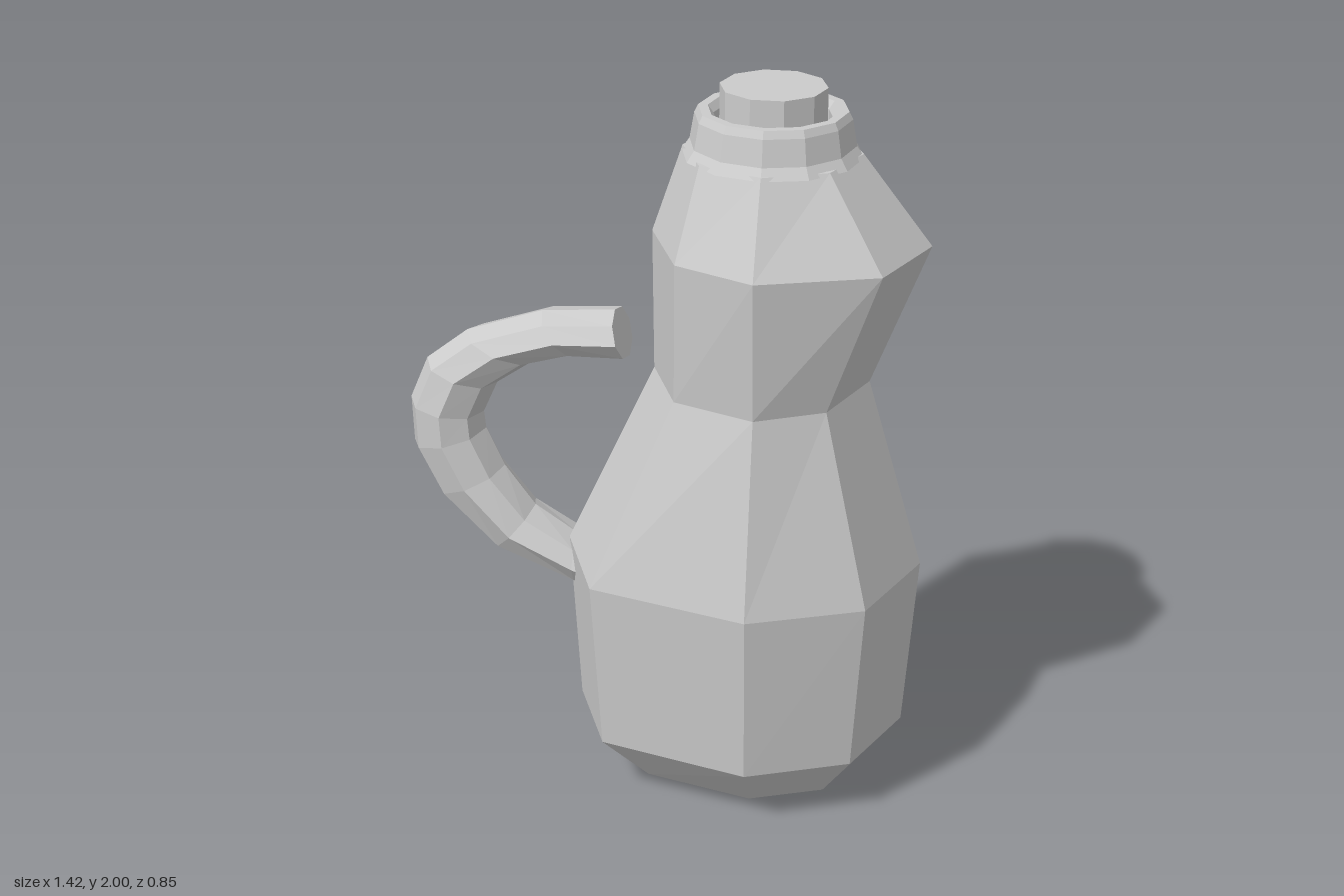
import * as THREE from 'three';

const material = new THREE.MeshStandardMaterial({ color: 0xcccccc, flatShading: true });
const CX = 0.285; // axis of the bottle

// Skin a stack of equal-sized rings (arrays of Vector3) and close both ends with fans
function loft(rings, startCentre, endCentre) {
  const n = rings[0].length;
  const last = rings.length - 1;
  const pts = [];
  for (let j = 0; j < n; j++) {
    const k = (j + 1) % n;
    pts.push(startCentre, rings[0][j], rings[0][k]);
    for (let i = 0; i < last; i++) {
      const a = rings[i], b = rings[i + 1];
      pts.push(a[j], b[j], a[k], a[k], b[j], b[k]);
    }
    pts.push(endCentre, rings[last][k], rings[last][j]);
  }
  const geometry = new THREE.BufferGeometry().setFromPoints(pts);
  geometry.computeVertexNormals();
  return geometry;
}

function addMesh(group, name, geometry) {
  const mesh = new THREE.Mesh(geometry, material);
  mesh.name = name;
  group.add(mesh);
  return mesh;
}

// Uneven eight-sided body: y, left, leftDiagonal, rightDiagonal, right, depth, diagonalDepth
function bodyGeometry() {
  const levels = [
    [0.035, 0.05, 0.11, 0.42, 0.48, 0.17, 0.12],
    [0.04, -0.12, -0.01, 0.48, 0.56, 0.27, 0.19],
    [0.18, -0.235, -0.125, 0.56, 0.675, 0.385, 0.27],
    [0.67, -0.265, -0.15, 0.59, 0.71, 0.425, 0.3],
    [1.2, -0.025, 0.065, 0.465, 0.555, 0.315, 0.225],
    [1.59, -0.03, 0.07, 0.6, 0.705, 0.355, 0.25],
    [1.83, 0.05, 0.119, 0.451, 0.52, 0.235, 0.166],
  ];
  const rings = levels.map(([y, l, ld, rd, r, z, zd]) =>
    [[r, 0], [rd, zd], [CX, z], [ld, zd], [l, 0], [ld, -zd], [CX, -z], [rd, -zd]]
      .map(([x, pz]) => new THREE.Vector3(x, y, pz)));
  return loft(rings, new THREE.Vector3(CX, 0.005, 0), new THREE.Vector3(CX, 1.84, 0));
}

// Curved handle: eight-sided sections spanning an outer and an inner outline
function handleGeometry() {
  const outer = [[-0.17, 0.51], [-0.25, 0.53], [-0.48, 0.62], [-0.64, 0.775], [-0.71, 0.915],
    [-0.715, 1.045], [-0.665, 1.165], [-0.55, 1.255], [-0.34, 1.325], [-0.14, 1.34]];
  const inner = [[-0.17, 0.62], [-0.25, 0.66], [-0.37, 0.74], [-0.455, 0.855], [-0.505, 0.965],
    [-0.51, 1.015], [-0.47, 1.105], [-0.36, 1.18], [-0.245, 1.21], [-0.1, 1.21]];
  const z = -0.045, depth = 0.105;
  const centres = outer.map(([x, y], i) =>
    new THREE.Vector3((x + inner[i][0]) / 2, (y + inner[i][1]) / 2, z));
  const rings = centres.map((c, i) => Array.from({ length: 8 }, (_, j) => {
    const a = j * Math.PI / 4;
    return new THREE.Vector3(
      c.x + (inner[i][0] - c.x) * Math.cos(a),
      c.y + (inner[i][1] - c.y) * Math.cos(a),
      z + depth * Math.sin(a));
  }));
  return loft(rings, centres[0], centres[centres.length - 1]);
}

export function createModel() {
  const group = new THREE.Group();
  group.name = 'jug';

  addMesh(group, 'body', bodyGeometry());
  addMesh(group, 'handle', handleGeometry());

  // Flared collar with a hollow rim
  const profile = [[0.237, 1.82], [0.217, 1.85], [0.205, 1.92], [0.195, 1.94],
    [0.17, 1.94], [0.155, 1.92], [0.155, 1.86], [0, 1.86]].map(([r, y]) => new THREE.Vector2(r, y));
  const collar = addMesh(group, 'collar', new THREE.LatheGeometry(profile, 12));
  collar.position.x = CX;

  // Ten-sided stopper inside the collar
  const stopper = addMesh(group, 'stopper', new THREE.CylinderGeometry(0.14, 0.14, 0.15, 10));
  stopper.position.set(CX, 1.925, 0);
  stopper.rotation.y = Math.PI / 2;

  return group;
}
